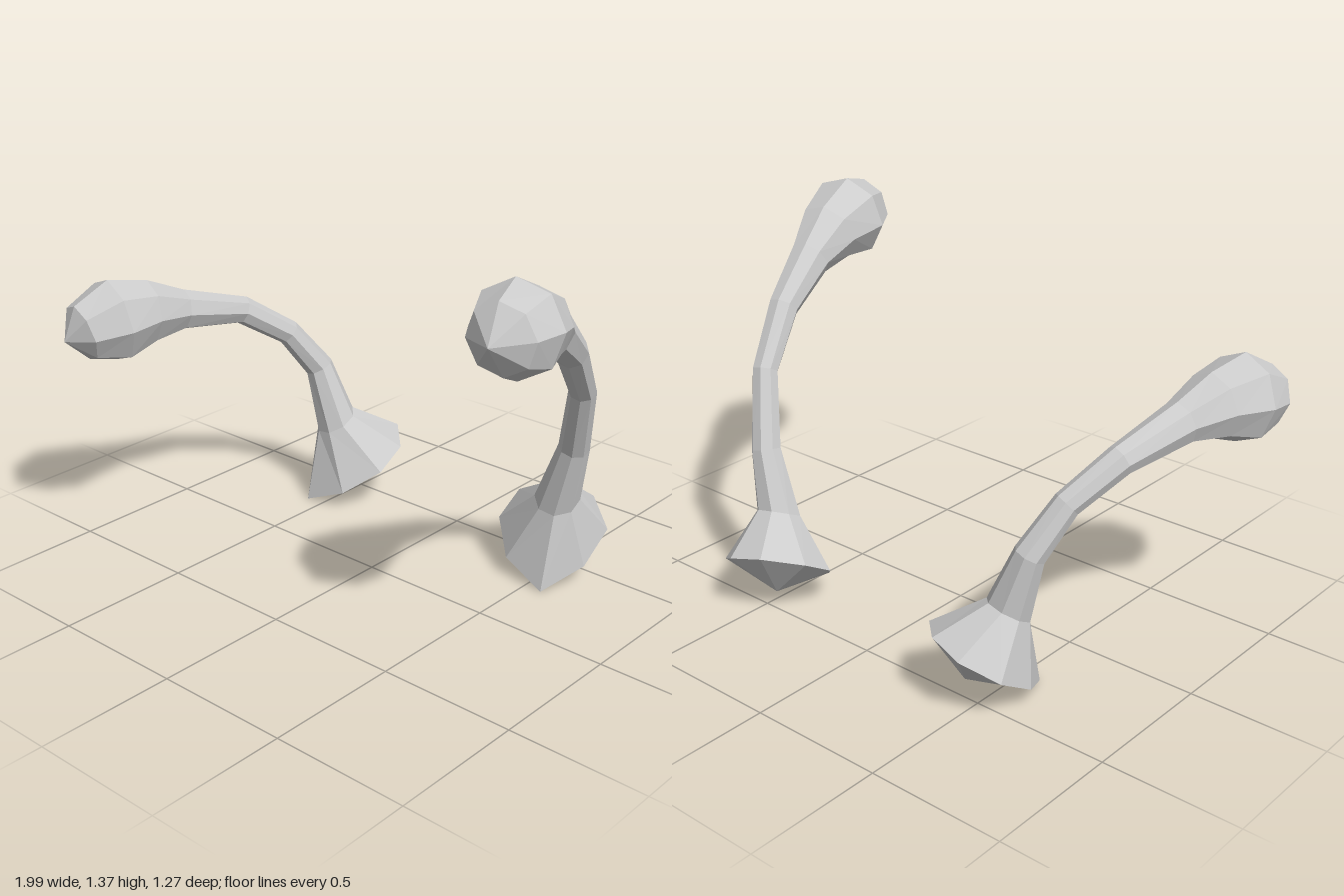
import * as THREE from 'three';

const SIDES = 8;
const V = (a) => new THREE.Vector3(...a);

// flared root ring and the pole closing it underneath
const rootRing = [
  [0.57, 0, -0.26], [0.40, 0.07, -0.28], [0.29, 0.16, -0.38], [0.29, 0.23, -0.50],
  [0.40, 0.26, -0.61], [0.53, 0.23, -0.635], [0.645, 0.16, -0.56], [0.65, 0.07, -0.41],
].map(V);
const rootPole = V([0.445, 0.07, -0.50]);
const rootCentre = V([0.47, 0.15, -0.45]);
const neckNormal = V([0.2, 0.87, 0.45]).normalize();

// stalk sections from neck to bulb: x, y, z, radius; then the bulb tip
const tallSections = [
  [0.535, 0.315, -0.39, 0.082], [0.61, 0.54, -0.367, 0.055], [0.69, 0.80, -0.28, 0.048],
  [0.74, 0.99, -0.13, 0.056], [0.78, 1.122, 0.05, 0.077], [0.815, 1.185, 0.18, 0.118],
  [0.842, 1.215, 0.318, 0.156], [0.87, 1.22, 0.43, 0.115],
];
const tallTip = [0.885, 1.22, 0.513];
const lowSections = [
  [0.535, 0.315, -0.39, 0.082], [0.60, 0.53, -0.367, 0.055], [0.66, 0.687, -0.26, 0.048],
  [0.74, 0.804, -0.093, 0.053], [0.79, 0.862, 0.168, 0.076], [0.82, 0.884, 0.31, 0.119],
  [0.848, 0.88, 0.443, 0.156], [0.875, 0.857, 0.565, 0.108],
];
const lowTip = [0.89, 0.837, 0.633];

function createFeeler(name, sections, tip, mirrored) {
  const centres = [rootCentre, ...sections.map((s) => V(s.slice(0, 3))), V(tip)];
  const rings = [rootRing];

  // carry one side direction along the stalk so the facets do not twist
  const side = rootRing[2].clone().sub(rootRing[6]).normalize();
  sections.forEach((s, i) => {
    const c = centres[i + 1];
    const before = c.clone().sub(centres[i]).normalize();
    const after = centres[i + 2].clone().sub(c).normalize();
    const along = i === 0 ? neckNormal : before.add(after).normalize();
    side.addScaledVector(along, -side.dot(along)).normalize();
    const under = along.clone().cross(side);
    rings.push(Array.from({ length: SIDES }, (_, k) => {
      const a = (k / SIDES) * Math.PI * 2;
      return c.clone()
        .addScaledVector(under, Math.cos(a) * s[3])
        .addScaledVector(side, Math.sin(a) * s[3]);
    }));
  });

  const positions = [];
  const triangle = (a, b, c) => {
    for (const p of mirrored ? [a, c, b] : [a, b, c]) {
      positions.push(mirrored ? -p.x : p.x, p.y, p.z);
    }
  };
  const last = rings[rings.length - 1];
  for (let k = 0; k < SIDES; k++) {
    const n = (k + 1) % SIDES;
    triangle(rootPole, rootRing[k], rootRing[n]);
    for (let i = 0; i < rings.length - 1; i++) {
      const [lower, upper] = [rings[i], rings[i + 1]];
      triangle(lower[k], upper[k], lower[n]);
      triangle(lower[n], upper[k], upper[n]);
    }
    triangle(last[k], centres[centres.length - 1], last[n]);
  }

  const geometry = new THREE.BufferGeometry();
  geometry.setAttribute('position', new THREE.Float32BufferAttribute(positions, 3));
  geometry.computeVertexNormals();
  const mesh = new THREE.Mesh(
    geometry,
    new THREE.MeshStandardMaterial({ color: 0xcccccc, flatShading: true }),
  );
  mesh.name = name;
  return mesh;
}

export function createModel() {
  const group = new THREE.Group();
  group.name = 'antennae';
  group.add(
    createFeeler('leftAntenna', tallSections, tallTip, false),
    createFeeler('rightAntenna', lowSections, lowTip, true),
  );
  return group;
}
